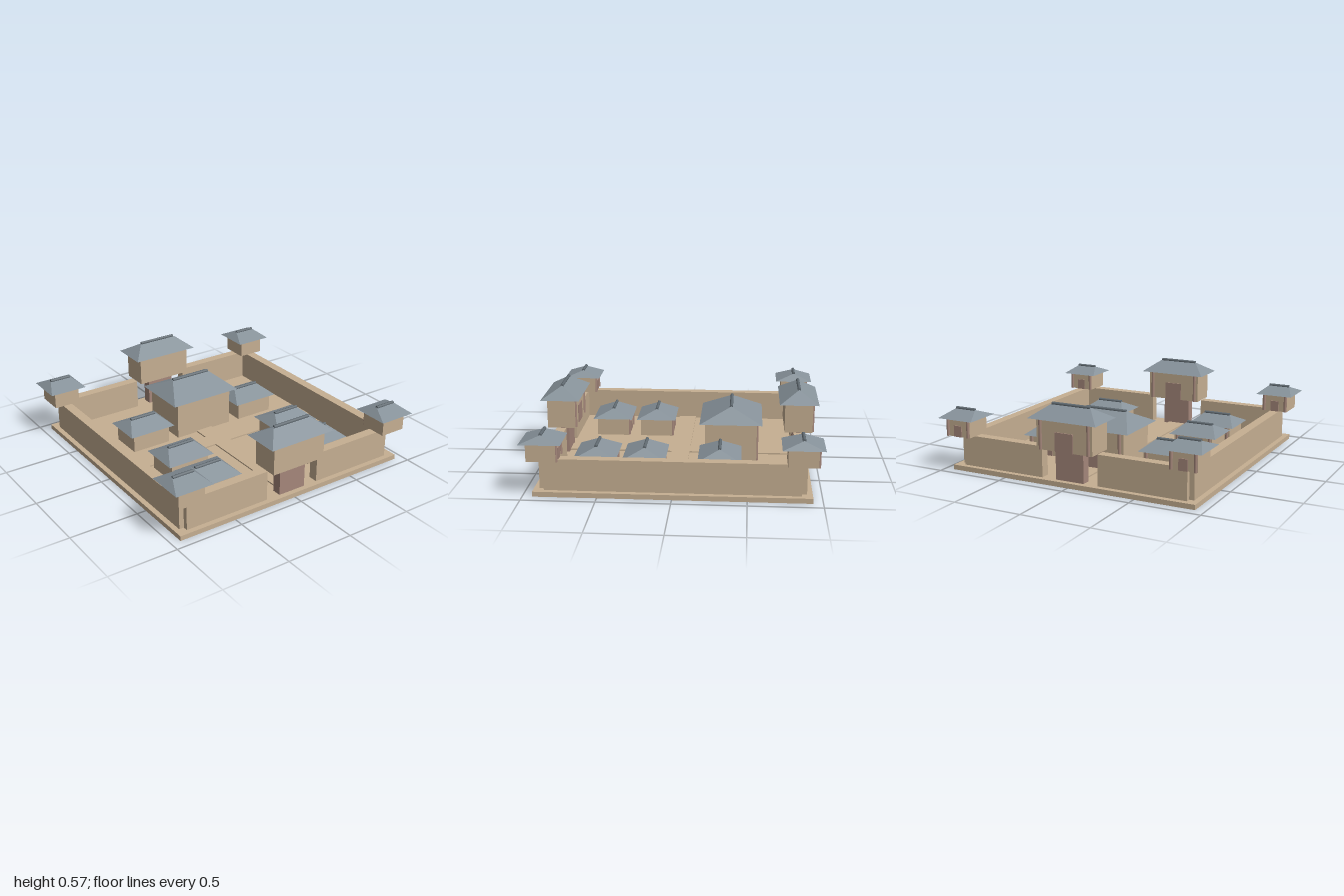
import * as THREE from 'three';

const mat = (name, color) => {
  const m = new THREE.MeshStandardMaterial({ color });
  m.name = name;
  return m;
};

export function createModel() {
  const model = new THREE.Group();
  model.name = 'walledCompound';
  const stone = mat('sandstone', 0xc6af92);
  const wood = mat('reddish wood', 0xa5877b);
  const tile = mat('slate roof tile', 0x87929a);
  const ridgeMat = mat('dark ridge tile', 0x626c73);

  const add = (parent, name, geo, material, x = 0, y = 0, z = 0) => {
    const m = new THREE.Mesh(geo, material);
    m.name = name;
    m.position.set(x, y, z);
    parent.add(m);
    return m;
  };
  // box given by its footprint and its bottom and top heights
  const block = (parent, name, material, w, d, y0, y1, x = 0, z = 0) =>
    add(parent, name, new THREE.BoxGeometry(w, y1 - y0, d), material, x, (y0 + y1) / 2, z);

  // hipped roof: a box whose top is drawn in to a ridge line
  const hipRoof = (hw, hd, rise) => {
    const box = new THREE.BoxGeometry(2 * hw, rise, 2 * hd);
    const p = box.attributes.position;
    for (let i = 0; i < p.count; i++) {
      if (p.getY(i) > 0) p.setXYZ(i, p.getX(i) * 0.56, p.getY(i), 0);
    }
    const g = box.toNonIndexed();
    g.computeVertexNormals();
    return g;
  };

  // body with a door and two columns on its back face, and a roof with a round ridge
  const building = (name, x, z, b) => {
    const g = new THREE.Group();
    g.name = name;
    g.position.set(x, 0, z);
    model.add(g);
    const h = b.eave - b.floor;
    block(g, 'body', stone, 2 * b.hw, 2 * b.hd, b.floor, b.eave);
    block(g, 'doorPanel', wood, b.hw * 0.64, 0.008, b.floor, b.floor + h * 0.62, 0, -b.hd - 0.003);
    for (const s of [-1, 1]) {
      add(g, 'column', new THREE.CylinderGeometry(0.012, 0.012, h, 8), wood,
        s * b.hw * 0.86, b.floor + h / 2, -b.hd);
    }
    const rise = b.top - b.eave;
    add(g, 'roof', hipRoof(b.rw, b.rd, rise), tile, 0, b.eave + rise / 2, 0);
    const ridge = add(g, 'ridge', new THREE.CylinderGeometry(0.012, 0.012, b.rw * 1.12, 8),
      ridgeMat, 0, b.top, 0);
    ridge.rotation.z = Math.PI / 2;
  };

  // ground slab and crossing paths
  block(model, 'baseSlab', stone, 1.866, 1.866, 0, 0.035);
  block(model, 'crossPath', stone, 1.65, 0.134, 0.035, 0.045);
  for (const s of [-1, 1]) {
    block(model, 'longPath', stone, 0.134, 0.758, 0.035, 0.045, 0, s * 0.446);
  }

  const gate = { hw: 0.213, hd: 0.1, floor: 0.255, eave: 0.47, top: 0.555, rw: 0.26, rd: 0.14 };
  const tower = { hw: 0.098, hd: 0.1, floor: 0.255, eave: 0.383, top: 0.435, rw: 0.14, rd: 0.14 };
  const hall = { hw: 0.235, hd: 0.187, floor: 0.035, eave: 0.32, top: 0.425, rw: 0.283, rd: 0.225 };
  const house = { hw: 0.15, hd: 0.122, floor: 0.035, eave: 0.17, top: 0.238, rw: 0.183, rd: 0.15 };

  for (const s of [-1, 1]) {
    // perimeter walls, with a gap at each gate
    block(model, 'sideWall', stone, 0.07, 1.72, 0.035, 0.255, s * 0.86, 0);
    for (const t of [-1, 1]) {
      block(model, 'gateWall', stone, 0.645, 0.07, 0.035, 0.255, t * 0.5375, s * 0.86);
      building('cornerTower', t * 0.86, s * 0.86, tower);
    }
    // gatehouses
    block(model, 'gateDoor', wood, 0.214, 0.07, 0.035, 0.255, 0, s * 0.86);
    building('gatehouse', 0, s * 0.86, gate);
    // courtyard houses
    for (const z of [-0.305, 0.215, 0.555]) building('courtyardHouse', s * 0.47, z, house);
  }
  building('mainHall', 0, -0.375, hall);

  return model;
}
